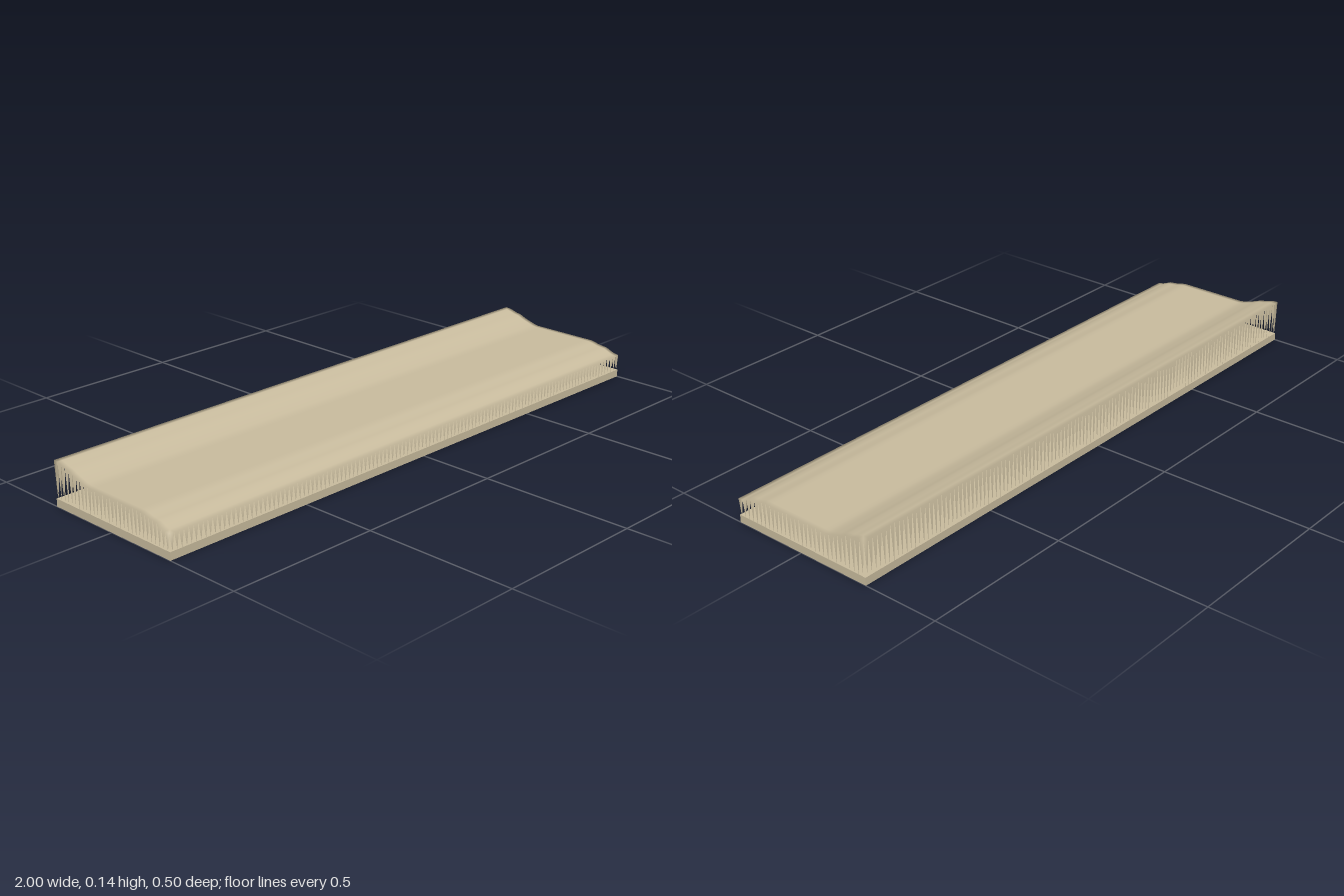
import * as THREE from 'three';

const NX = 120, NZ = 30;   // cells of the draped sheet
const W = 2, D = 0.5, BASE = 0.025;

// Height of the sheet from front (z = 0.25) to back (z = -0.25)
const PROFILE = [
  [0.25, 0.078], [0.23, 0.081], [0.2, 0.094], [0.17, 0.097], [0.14, 0.105], [-0.1, 0.105],
  [-0.12, 0.108], [-0.14, 0.115], [-0.16, 0.12], [-0.18, 0.13], [-0.2, 0.133], [-0.23, 0.142], [-0.25, 0.143],
];

function heightAt(z) {
  for (let i = 1; i < PROFILE.length; i++) {
    const [z0, y0] = PROFILE[i - 1], [z1, y1] = PROFILE[i];
    if (z >= z1 - 1e-6) return THREE.MathUtils.mapLinear(z, z0, z1, y0, y1);
  }
  return PROFILE[PROFILE.length - 1][1];
}

// Contoured sheet with pointed teeth hanging from its whole rim
function sheetGeometry() {
  const pos = [], index = [];
  const id = (i, j) => j * (NX + 1) + i;

  for (let j = 0; j <= NZ; j++) {
    const z = -D / 2 + (D * j) / NZ;
    for (let i = 0; i <= NX; i++) pos.push(-W / 2 + (W * i) / NX, heightAt(z), z);
  }
  for (let j = 0; j < NZ; j++) {
    for (let i = 0; i < NX; i++) {
      const a = id(i, j), b = id(i + 1, j), c = id(i, j + 1), d = id(i + 1, j + 1);
      index.push(a, c, b, b, c, d);
    }
  }

  // Rim walked counter-clockwise as seen from above
  const rim = [];
  for (let i = 0; i < NX; i++) rim.push(id(i, NZ));
  for (let j = NZ; j > 0; j--) rim.push(id(NX, j));
  for (let i = NX; i > 0; i--) rim.push(id(i, 0));
  for (let j = 0; j < NZ; j++) rim.push(id(0, j));

  rim.forEach((a, k) => {
    const b = rim[(k + 1) % rim.length];
    const tip = pos.length / 3;
    pos.push((pos[a * 3] + pos[b * 3]) / 2, BASE, (pos[a * 3 + 2] + pos[b * 3 + 2]) / 2);
    index.push(a, tip, b);
  });

  const geometry = new THREE.BufferGeometry();
  geometry.setAttribute('position', new THREE.Float32BufferAttribute(pos, 3));
  geometry.setIndex(index);
  geometry.computeVertexNormals();
  return geometry;
}

export function createModel() {
  const group = new THREE.Group();
  group.name = 'contouredSlab';

  const sand = new THREE.MeshStandardMaterial({ color: 0xcabd9f, side: THREE.DoubleSide });
  sand.name = 'sand';

  // Flat base plate
  const base = new THREE.Mesh(new THREE.BoxGeometry(W, BASE, D), sand);
  base.name = 'basePlate';
  base.position.y = BASE / 2;

  const sheet = new THREE.Mesh(sheetGeometry(), sand);
  sheet.name = 'contouredTopWithTeeth';

  group.add(base, sheet);
  return group;
}
